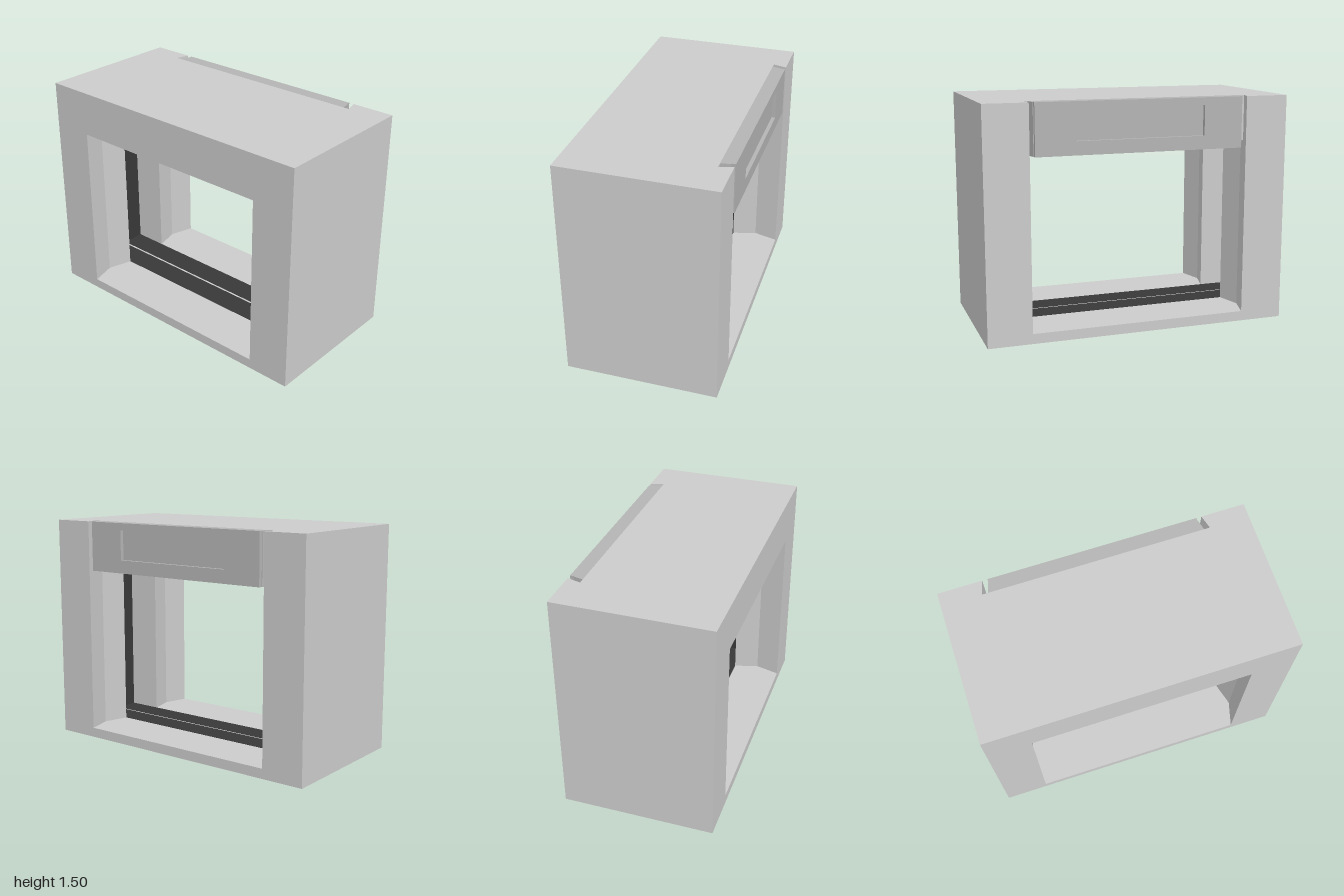
import * as THREE from 'three';

const grey = new THREE.MeshStandardMaterial({ color: 0xcccccc, flatShading: true });
const panelGrey = new THREE.MeshStandardMaterial({ color: 0xb4b4b4, flatShading: true });
const dark = new THREE.MeshStandardMaterial({ color: 0x383838, flatShading: true });

export function createModel() {
  const group = new THREE.Group();

  const add = (name, geometry, material) => {
    const mesh = new THREE.Mesh(geometry, material);
    mesh.name = name;
    group.add(mesh);
    return mesh;
  };

  // Box given by its limits on each axis
  const box = (name, [x0, x1], [y0, y1], [z0, z1], material = grey) =>
    add(name, new THREE.BoxGeometry(x1 - x0, y1 - y0, z1 - z0), material)
      .position.set((x0 + x1) / 2, (y0 + y1) / 2, (z0 + z1) / 2);

  // Plan outline of [x, z] points raised from y0 to y1
  const prism = (name, plan, y0, y1, material = grey) => {
    const shape = new THREE.Shape(plan.map(([x, z]) => new THREE.Vector2(x, -z)));
    const geometry = new THREE.ExtrudeGeometry(shape, { depth: y1 - y0, bevelEnabled: false });
    geometry.rotateX(-Math.PI / 2).translate(0, y0, 0);
    add(name, geometry, material);
  };

  // Side walls: two notched jambs with a deep cavity between them
  const wall = [
    [1, 0.5], [1, -0.5], [0.715, -0.5], [0.761, -0.333], [0.715, -0.167], [0.957, -0.167],
    [0.957, 0.167], [0.715, 0.167], [0.761, 0.333], [0.715, 0.5],
  ];
  for (const [side, s] of [['left', 1], ['right', -1]]) {
    prism(side + 'Wall', wall.map(([x, z]) => [s * x, z]), 0, 1.5);
    const xs = [s * 0.945, s * 0.957].sort((a, b) => a - b);
    box(side + 'CavityLiner', xs, [0.065, 1.33], [-0.167, 0.167], dark);
  }

  // Sill, lintels and roof over the cavity
  box('sill', [-0.97, 0.97], [0, 0.065], [-0.5, 0.5]);
  box('frontLintel', [-0.97, 0.97], [1.205, 1.5], [0.167, 0.5]);
  box('backLintel', [-0.97, 0.97], [1.205, 1.5], [-0.41, -0.167]);
  box('cavityRoof', [-0.97, 0.97], [1.33, 1.5], [-0.167, 0.167]);

  // Dark lining of the cavity ceiling and floor, the floor split by a thin gap
  box('cavityCeilingLiner', [-0.957, 0.957], [1.32, 1.33], [-0.167, 0.167], dark);
  box('cavityFloorFront', [-0.957, 0.957], [0.05, 0.067], [0.008, 0.167], dark);
  box('cavityFloorBack', [-0.957, 0.957], [0.05, 0.067], [-0.167, -0.008], dark);

  // Back panel: tapered plates that follow the slope of the jambs
  const halfWidth = (z) => 0.68 + (z + 0.5) * 0.24;
  const plate = (name, z0, z1, y0, y1) => {
    const a = halfWidth(z0), b = halfWidth(z1);
    prism(name, [[-a, z0], [a, z0], [b, z1], [-b, z1]], y0, y1, panelGrey);
  };
  plate('backPanel', -0.475, -0.41, 1.17, 1.5);
  plate('backPanelFoot', -0.41, -0.333, 1.17, 1.21);

  // Frame around the shallow recess of the back panel
  const rect = (Type, w, y0, y1) => new Type([[-w, y0], [w, y0], [w, y1], [-w, y1]]
    .map(([x, y]) => new THREE.Vector2(x, y)));
  const frame = rect(THREE.Shape, 0.682, 1.17, 1.5);
  frame.holes.push(rect(THREE.Path, 0.423, 1.257, 1.452));
  const frameGeometry = new THREE.ExtrudeGeometry(frame, { depth: 0.025, bevelEnabled: false });
  add('backPanelFrame', frameGeometry.translate(0, 0, -0.5), panelGrey);

  return group;
}
